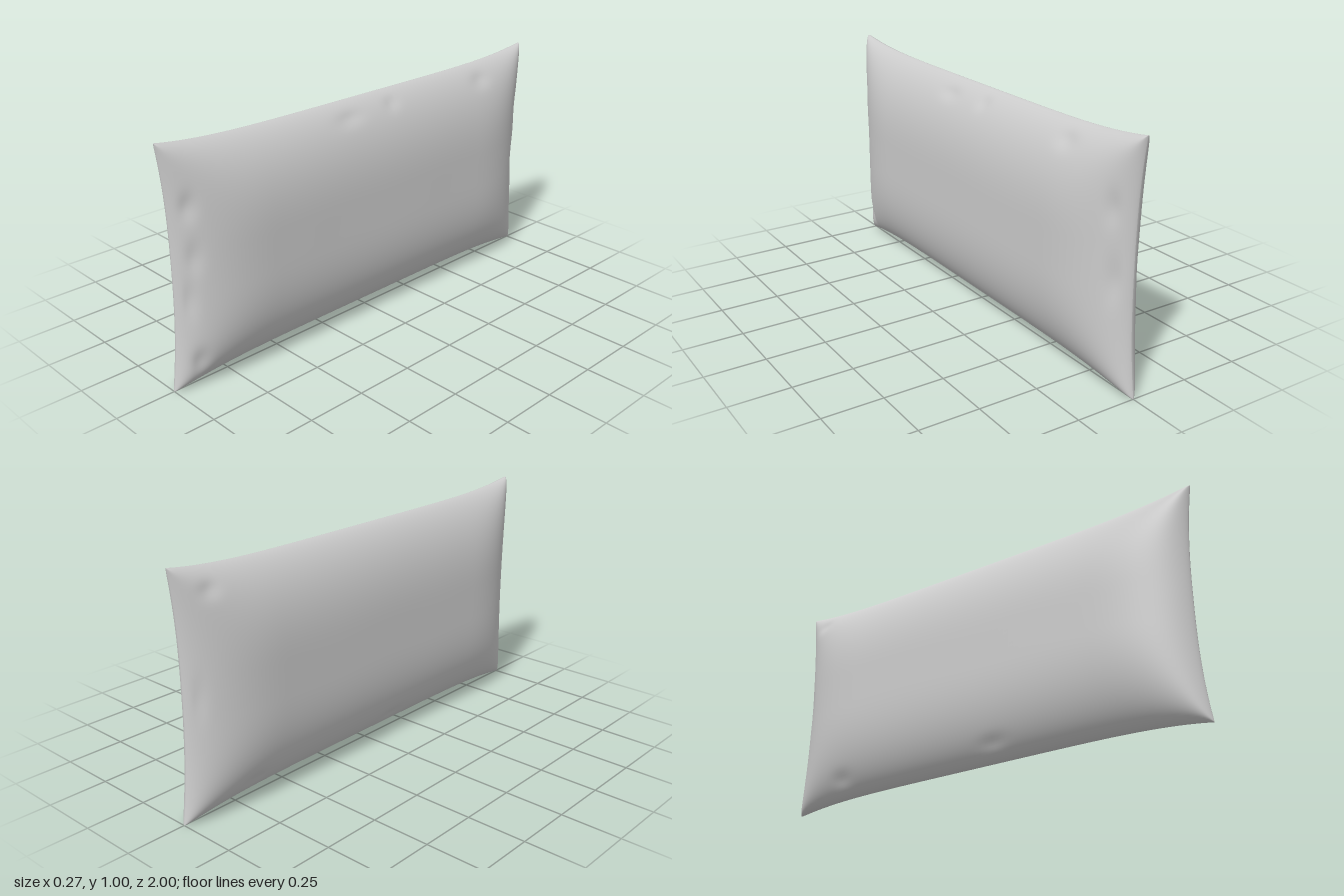
import * as THREE from 'three';

const HALF_THICK = 0.135;

// Rise of the cushion at distance d from a seam (0 at the seam, 1 on the flat)
const puff = (d) => {
  const t = Math.min(Math.max(d / 0.4, 0), 1);
  return Math.pow(1 - Math.pow(1 - t, 2.6), 0.68);
};

// Shallow creases near the seams: [y, z, y radius, z radius, depth]
const dents = {
  1: [
    [0.75, 0.92, 0.05, 0.025, 0.011], [0.55, 0.91, 0.06, 0.025, 0.009],
    [0.38, 0.93, 0.07, 0.02, 0.008], [0.12, 0.91, 0.05, 0.03, 0.012],
    [0.9, 0.14, 0.025, 0.06, 0.008], [0.91, -0.1, 0.025, 0.03, 0.008],
    [0.9, -0.65, 0.03, 0.05, 0.009], [0.72, -0.91, 0.06, 0.025, 0.009],
    [0.45, -0.92, 0.08, 0.025, 0.01],
  ],
  [-1]: [
    [0.9, -0.87, 0.03, 0.04, 0.008], [0.5, -0.93, 0.08, 0.02, 0.006],
    [0.1, 0.1, 0.025, 0.06, 0.006], [0.1, -0.7, 0.03, 0.05, 0.007],
  ],
};

// One bulging fabric panel; side is +1 or -1 along x
function panel(side) {
  const geo = new THREE.PlaneGeometry(2, 2, 120, 72);
  const pos = geo.attributes.position;
  for (let i = 0; i < pos.count; i++) {
    // Crowd the grid towards the seams
    const u = Math.sin(pos.getX(i) * Math.PI / 2) * -side;
    const v = Math.sin(pos.getY(i) * Math.PI / 2);
    // Seams bow inwards between the pointed corners
    const halfY = 0.4625 + 0.035 * Math.abs(u) ** 5;
    const halfZ = 0.967 + 0.033 * Math.abs(v) ** 2.5;
    const ripple = 0.0025 * (1 - u * u) * (1 - v * v);
    const y = 0.4975 + v * halfY;
    const z = u * halfZ;
    const a = puff((1 - Math.abs(v)) * halfY);
    const b = puff((1 - Math.abs(u)) * halfZ);
    // Soft minimum of the two rises gives rounded diagonal corners
    const k = 1.8;
    let x = a * b < 1e-6 ? 0 : HALF_THICK * Math.pow(a ** -k + b ** -k - 1, -1 / k);
    const room = Math.min(1, x / 0.04);
    for (const [dy, dz, ry, rz, depth] of dents[side])
      x -= room * depth * Math.exp(-(((y - dy) / ry) ** 2) - ((z - dz) / rz) ** 2);
    x -= room * ripple * 0.2 * Math.sin(z * 9);
    pos.setXYZ(i, side * x, y, z);
  }
  geo.computeVertexNormals();
  return geo;
}

export function createModel() {
  const pillow = new THREE.Group();
  pillow.name = 'pillow';
  const fabric = new THREE.MeshStandardMaterial({ color: 0xcccccc, side: THREE.DoubleSide });
  for (const side of [1, -1]) {
    const mesh = new THREE.Mesh(panel(side), fabric);
    mesh.name = side > 0 ? 'leftPanel' : 'rightPanel';
    pillow.add(mesh);
  }
  return pillow;
}
